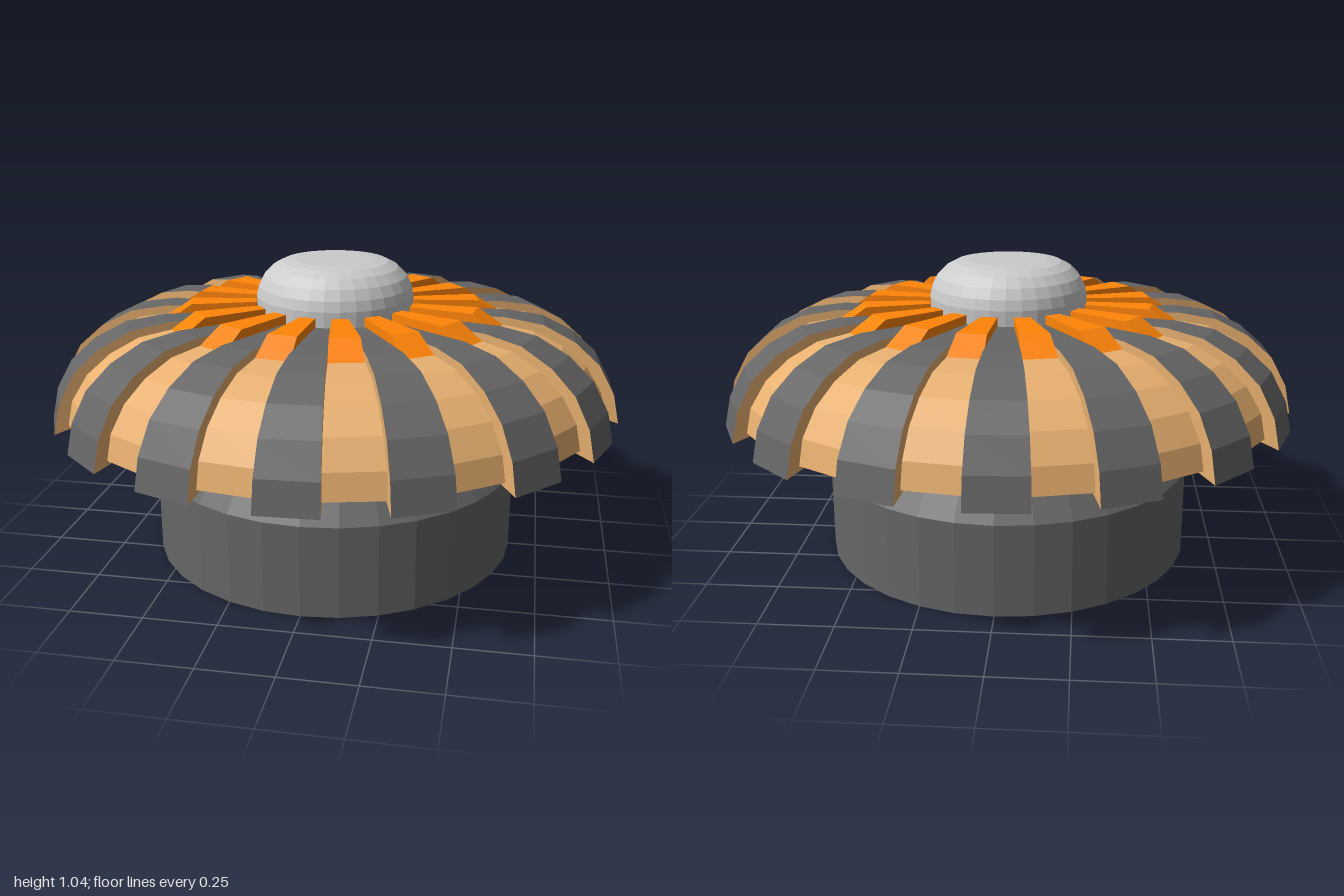
import * as THREE from 'three';

const COUNT = 16;
const HALF = Math.PI / COUNT / 2; // half the angle of one rib or one gap
const TWIST = THREE.MathUtils.degToRad(2.2);

const mat = (color) => new THREE.MeshStandardMaterial({ color, flatShading: true, side: THREE.DoubleSide });
const grey = mat(0xcccccc);
const dark = mat(0x666666);
const tan = mat(0xe8b070);
const orange = mat(0xff8408);

const toPoints = (list) => list.map(([r, y]) => new THREE.Vector2(r, y));

function add(parent, name, geometry, material) {
  const mesh = new THREE.Mesh(geometry, material);
  mesh.name = name;
  parent.add(mesh);
}

// A flat-faceted sector swept from a closed (radius, height) outline, with two side walls
function makeSector(name, outline, faceMaterial, sideMaterial) {
  const group = new THREE.Group();
  group.name = name;
  const points = toPoints(outline);
  add(group, name + 'Surface', new THREE.LatheGeometry([...points, points[0].clone()], 1, -HALF, 2 * HALF), faceMaterial);
  for (const s of [-1, 1]) {
    const side = new THREE.ShapeGeometry(new THREE.Shape(points));
    side.rotateY(s * HALF - Math.PI / 2);
    add(group, name + 'Side', side, sideMaterial);
  }
  return group;
}

export function createModel() {
  const model = new THREE.Group();
  model.name = 'ribbedKnob';

  // Base drum with a cone neck that runs up into the hollow of the head
  const base = toPoints([[0, 0], [0.65, 0], [0.65, 0.32], [0.33, 0.745], [0, 0.745]]);
  add(model, 'base', new THREE.LatheGeometry(base, 32), dark);

  const head = new THREE.Group();
  head.name = 'head';
  head.rotation.y = TWIST;
  model.add(head);

  // Raised ribs, recessed panels between them, and the blocks around the button;
  // the undersides slope up towards the neck
  const rib = [[0.288, 0.725], [1.002, 0.517], [0.98, 0.62], [0.925, 0.72], [0.84, 0.795],
    [0.73, 0.85], [0.6, 0.87], [0.288, 0.87]];
  const panel = [[0.288, 0.745], [0.953, 0.547], [0.935, 0.63], [0.88, 0.715], [0.8, 0.78],
    [0.7, 0.827], [0.58, 0.845], [0.288, 0.845]];
  const block = [[0.28, 0.84], [0.595, 0.84], [0.505, 0.9], [0.28, 0.9]];
  for (let i = 0; i < COUNT; i++) {
    const angle = (i * 2 * Math.PI) / COUNT;
    const ribPart = makeSector('rib', rib, dark, tan);
    const panelPart = makeSector('panel', panel, tan, tan);
    const blockPart = makeSector('block', block, orange, orange);
    ribPart.rotation.y = angle;
    panelPart.rotation.y = blockPart.rotation.y = angle + 2 * HALF;
    head.add(ribPart, panelPart, blockPart);
  }

  // Rounded centre button
  const button = toPoints([[0, 0.84], [0.274, 0.84], [0.276, 0.92], [0.268, 0.955], [0.25, 0.99],
    [0.22, 1.02], [0.185, 1.038], [0.14, 1.045], [0, 1.045]]);
  add(head, 'button', new THREE.LatheGeometry(button, 32), grey);

  return model;
}
